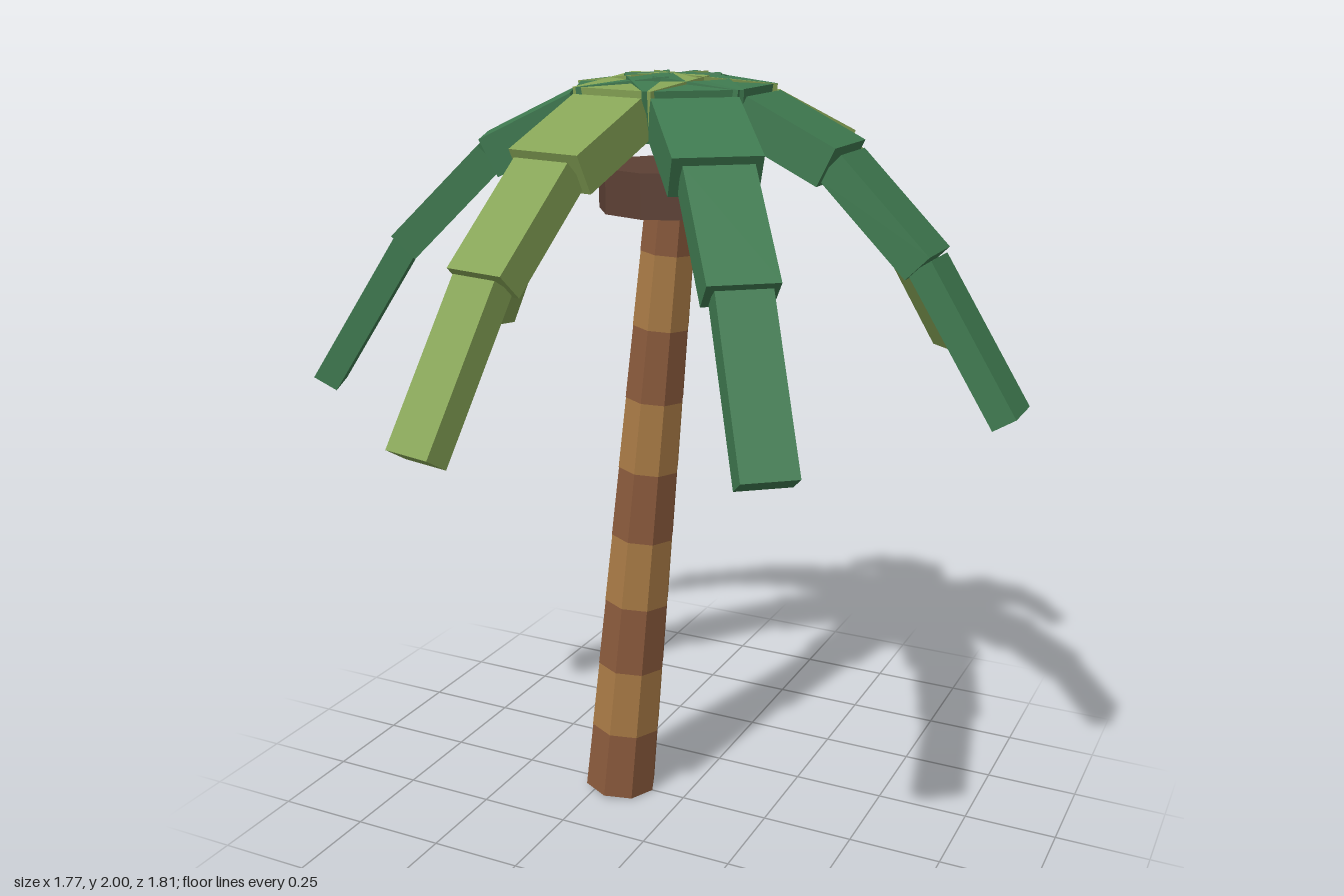
import * as THREE from 'three';

const mat = (color) => new THREE.MeshStandardMaterial({ color, flatShading: true });

export function createModel() {
  const model = new THREE.Group();
  model.name = 'palmTree';

  const darkBark = mat(0x8a5a3c), lightBark = mat(0xa87a45), crownBark = mat(0x5c4034);
  const darkLeaf = mat(0x3f7a50), lightLeaf = mat(0x86a456);

  // Leaning trunk of tapering eight-sided rings in two alternating browns
  const trunk = new THREE.Group();
  trunk.name = 'trunk';
  trunk.position.set(-0.2, 0.01, 0);
  trunk.rotation.z = -0.1;
  const rings = 9, ringHeight = 0.195;
  const radiusAt = (i) => 0.102 - 0.0037 * i;
  for (let i = 0; i < rings; i++) {
    const geo = new THREE.CylinderGeometry(radiusAt(i + 1) - 0.001, radiusAt(i), ringHeight, 8);
    const ring = new THREE.Mesh(geo, i % 2 ? lightBark : darkBark);
    ring.name = 'trunkRing';
    ring.position.y = (i + 0.5) * ringHeight;
    trunk.add(ring);
  }
  model.add(trunk);

  // Dark collar under the fronds
  const collar = new THREE.Mesh(new THREE.CylinderGeometry(0.195, 0.195, 0.11, 10), crownBark);
  collar.name = 'collar';
  collar.position.set(-0.02, 1.725, 0);
  model.add(collar);

  // Each frond is a drooping chain of four boxes, narrower towards the tip
  const crown = new THREE.Group();
  crown.name = 'crown';
  crown.position.set(-0.03, 1.94, 0);
  const widths = [0.24, 0.21, 0.165, 0.13];
  const thickness = [0.12, 0.1, 0.08, 0.065];
  const reach = 0.887, drop = 0.707;
  const pointAt = (s) => new THREE.Vector2(s * reach, -drop * Math.pow(s, 2.4));
  const count = 7;
  for (let k = 0; k < count; k++) {
    const frond = new THREE.Group();
    frond.name = 'frond';
    frond.rotation.y = (k / count) * Math.PI * 2;
    for (let i = 0; i < 4; i++) {
      const a = pointAt(i / 4), b = pointAt((i + 1) / 4);
      const geo = new THREE.BoxGeometry(a.distanceTo(b), thickness[i], widths[i]);
      const piece = new THREE.Mesh(geo, k % 2 ? lightLeaf : darkLeaf);
      piece.name = 'frondSegment';
      piece.position.set((a.x + b.x) / 2, (a.y + b.y) / 2, 0);
      piece.rotation.z = Math.atan2(b.y - a.y, b.x - a.x);
      frond.add(piece);
    }
    crown.add(frond);
  }
  model.add(crown);

  return model;
}
